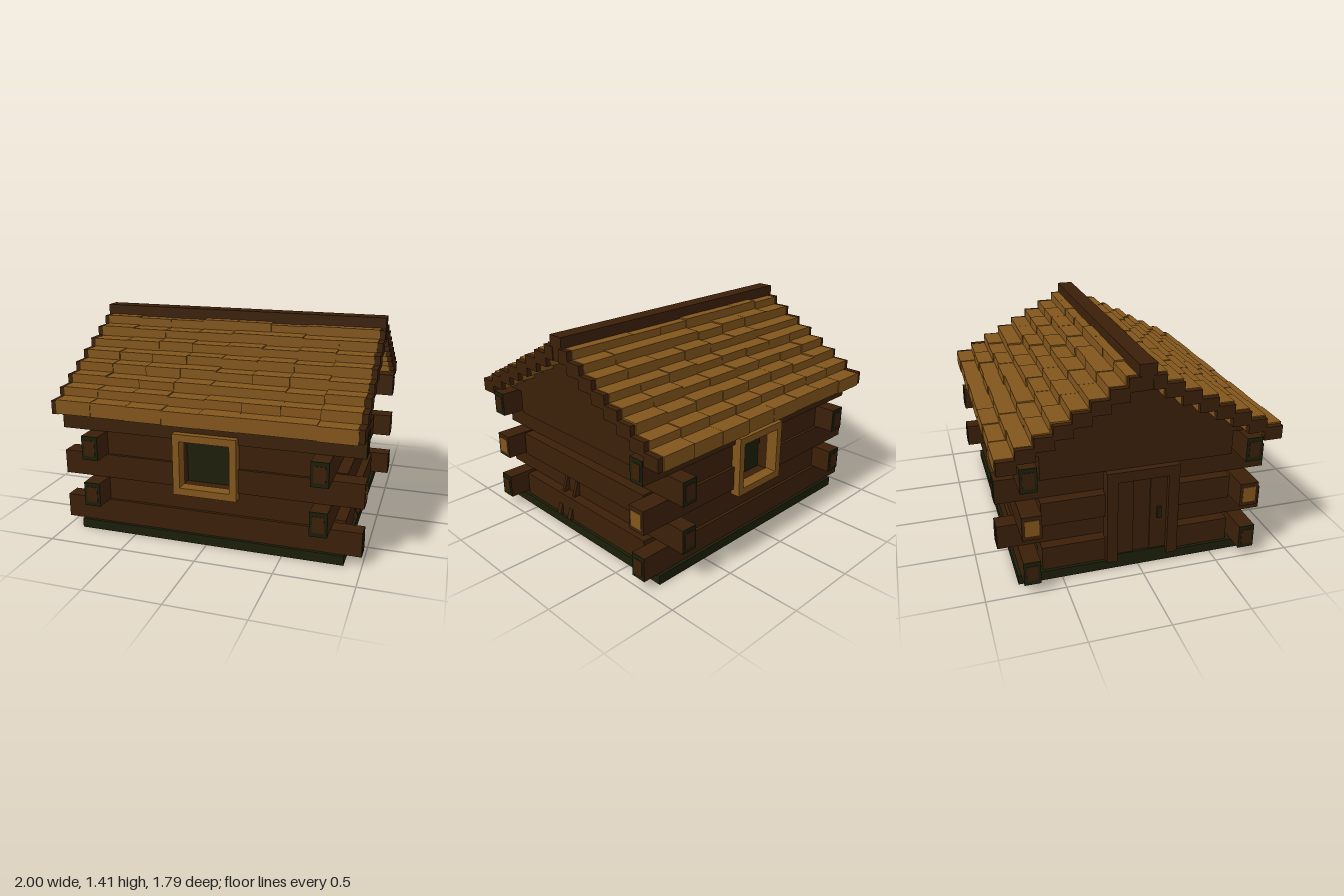
import * as THREE from 'three';

export function createModel() {
  const root = new THREE.Group();
  root.name = 'logCabin';
  const mat = (name, color) => {
    const m = new THREE.MeshStandardMaterial({ color });
    m.name = name;
    return m;
  };
  const brown = mat('dark wood', 0x3b2008);
  const tan = mat('shingle wood', 0x83561c);
  const green = mat('mossy green', 0x1c1e09);

  // Box given by its extents on each axis (either order)
  const box = (name, m, x0, x1, y0, y1, z0, z1, parent = root) => {
    const mesh = new THREE.Mesh(new THREE.BoxGeometry(Math.abs(x1 - x0), Math.abs(y1 - y0), Math.abs(z1 - z0)), m);
    mesh.position.set((x0 + x1) / 2, (y0 + y1) / 2, (z0 + z1) / 2);
    mesh.name = name;
    parent.add(mesh);
    return mesh;
  };
  const points = (list) => list.map(([a, b]) => new THREE.Vector2(a, b));

  let seed = 11;
  const rand = () => {
    seed = (seed * 16807) % 2147483647;
    return seed / 2147483647;
  };

  // Foundation
  box('foundation', green, -0.89, 0.89, 0, 0.063, -0.78, 0.78);

  const rows = [0.063, 0.222, 0.381, 0.54, 0.699, 0.858];
  for (const s of [-1, 1]) {
    const zs = (name, m, x0, x1, y0, y1, a, b) => box(name, m, x0, x1, y0, y1, s * a, s * b);
    const xs = (name, m, a, b, y0, y1, z0, z1) => box(name, m, s * a, s * b, y0, y1, z0, z1);

    for (let r = 0; r < 5; r++) {
      const y0 = rows[r], y1 = rows[r + 1];
      const even = r % 2 === 0;

      // Front and back walls: long logs on even rows, short ones between
      const reach = even ? 0.99 : 0.69;
      const za = r === 2 ? 0.638 : 0.655, zb = even ? 0.76 : 0.74;
      if (r === 2 || r === 3) {
        // Leave the window opening
        zs('wallLog', brown, -reach, -0.168, y0, y1, za, zb);
        zs('wallLog', brown, 0.168, reach, y0, y1, za, zb);
      } else {
        zs('wallLog', brown, -reach, reach, y0, y1, za, zb);
      }

      // Side walls: long logs on odd rows, short stouter ones between
      if (even) xs('sideLog', brown, 0.69, 0.87, y0, y1, -0.62, 0.62);
      else xs('sideLog', brown, 0.69, 0.80, y0, y1, -0.88, 0.88);

      // Log ends with a rim and a core
      for (const e of [-1, 1]) {
        if (even) {
          const cap = (n, m, a, b, i) => zs(n, m, e * a, e * b, y0 + i, y1 - i, za + i * 0.65, zb - i * 0.65);
          cap('logEndRim', r === 2 ? brown : green, 0.99, 0.996, 0);
          cap('logEndCore', r === 2 ? tan : brown, 0.993, 0.999, 0.028);
        } else {
          const cap = (n, m, a, b, i) => xs(n, m, 0.69 + i * 0.65, 0.80 - i * 0.65, y0 + i, y1 - i, e * a, e * b);
          cap('logEndRim', green, 0.88, 0.886, 0);
          cap('logEndCore', brown, 0.883, 0.889, 0.028);
        }
      }
    }

    // Window: frame with an opening and a recessed pane
    const f = new THREE.Shape(points([[-0.21, 0.34], [0.21, 0.34], [0.21, 0.747], [-0.21, 0.747]]));
    f.holes.push(new THREE.Path(points([[-0.165, 0.388], [-0.165, 0.699], [0.165, 0.699], [0.165, 0.388]])));
    const frame = new THREE.Mesh(new THREE.ExtrudeGeometry(f, { depth: 0.08, bevelEnabled: false }), tan);
    frame.position.z = s > 0 ? 0.725 : -0.805;
    frame.name = 'windowFrame';
    root.add(frame);
    zs('windowPane', green, -0.18, 0.18, 0.37, 0.71, 0.639, 0.647);

    // Stepped roof of shingles, with rake blocks and gable logs at both ends
    for (let i = 0; i < 8; i++) {
      const z = 0.893 - 0.1105 * i;
      const top = 0.922 + 0.06 * i;
      const inner = Math.max(z - 0.125, 0.03);
      for (let c = 0; c < 8; c++) {
        const x = -0.96 + c * 0.24;
        const j = (rand() - 0.5) * 0.012;
        zs('shingle', tan, x, x + 0.24, top - 0.093 + j, top + j, inner, z + (rand() - 0.5) * 0.012);
      }
      for (const e of [-1, 1])
        zs('rakeBlock', brown, e * 0.95, e * 0.995, top - 0.092, top - 0.004, inner, z - 0.005);
      if (i > 0)
        xs('gableLog', brown, 0.69, 0.87, i === 1 ? 0.858 : top - 0.148, top - 0.088, 0.01 - z, z - 0.01);
    }
  }

  // Ridge beam
  box('ridgeBeam', brown, -0.99, 0.99, 1.25, 1.41, -0.054, 0.054);

  // Door on the right side
  const door = new THREE.Group();
  door.name = 'door';
  door.position.z = 0.02;
  root.add(door);
  for (const s of [-1, 1])
    box('doorPost', brown, -0.915, -0.835, 0.063, 0.70, s * 0.2 - 0.035, s * 0.2 + 0.035, door);
  box('doorLintel', brown, -0.915, -0.835, 0.63, 0.70, -0.165, 0.165, door);
  box('doorSill', green, -0.893, -0.84, 0.063, 0.1, -0.165, 0.165, door);
  for (let i = 0; i < 3; i++)
    box('doorPlank', brown, -0.884 + (i % 2) * 0.008, -0.84, 0.1, 0.63, -0.165 + i * 0.11, -0.055 + i * 0.11, door);
  box('doorHandle', green, -0.905, -0.88, 0.33, 0.41, 0.1, 0.125, door);

  // Two tools leaning on the left wall
  for (const [z, h] of [[0.225, 0.33], [0.113, 0.27]]) {
    const tool = new THREE.Group();
    tool.name = 'leaningTool';
    box('toolHandle', brown, -0.035, 0.01, 0, h, -0.011, 0.011, tool);
    box('toolHead', brown, -0.012, 0.012, 0, 0.075, -0.017, 0.017, tool);
    tool.position.set(0.885, 0.065, z);
    tool.rotation.z = 0.303;
    root.add(tool);
  }
  return root;
}
